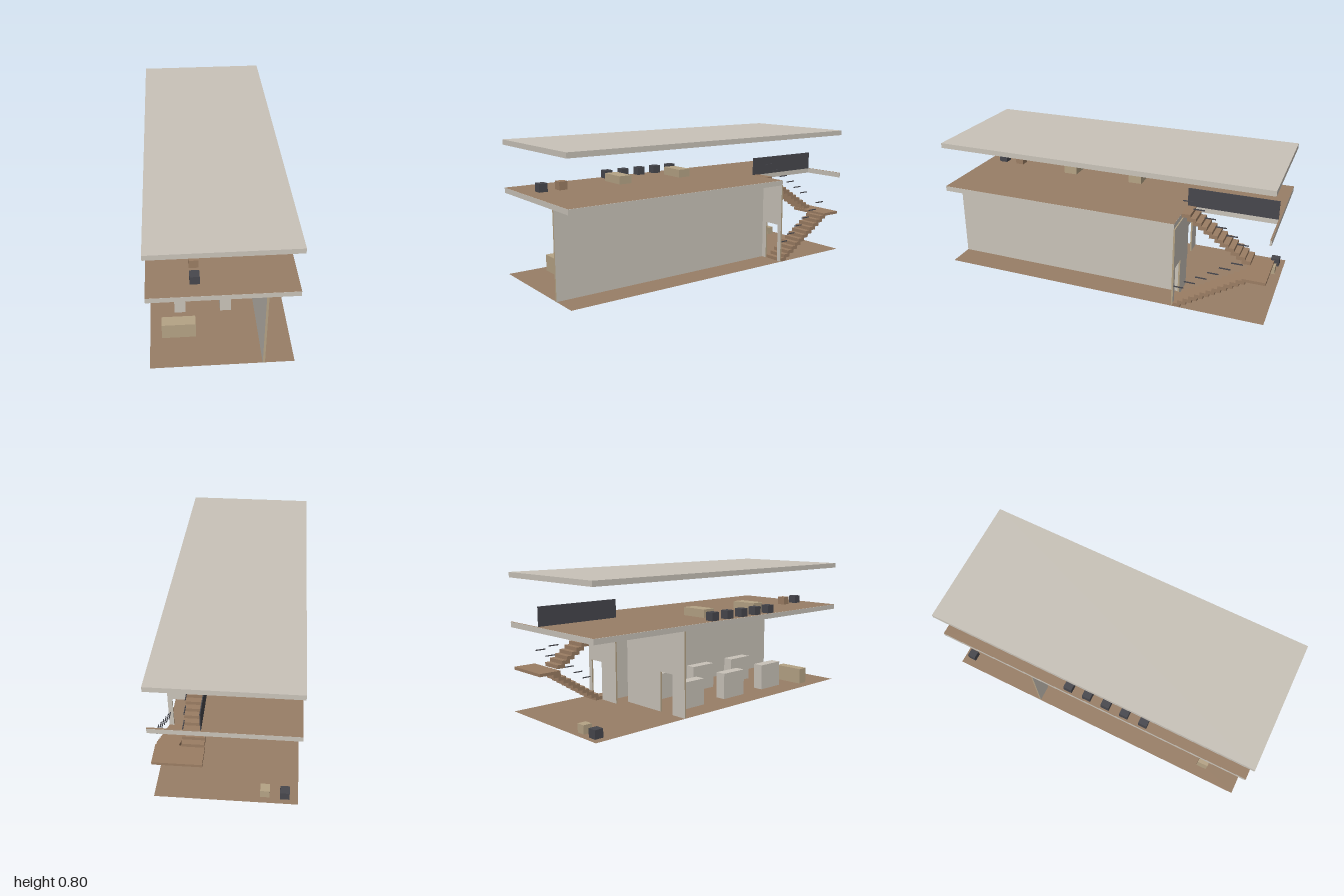
import * as THREE from 'three';

const mat = (name, color) => {
  const m = new THREE.MeshStandardMaterial({ color });
  m.name = name;
  return m;
};

export function createModel() {
  const cream = mat('cream plaster', 0xc9c3b9);
  const brown = mat('brown timber', 0x9b7d63);
  const tan = mat('tan wood', 0xb5a385);
  const dark = mat('dark grey', 0x47474d);
  const floorBrown = mat('floor brown', 0x997f67);
  floorBrown.side = THREE.DoubleSide;

  const model = new THREE.Group();
  model.name = 'twoStoreyBuilding';

  const add = (name, geometry, material, parent = model) => {
    const mesh = new THREE.Mesh(geometry, material);
    mesh.name = name;
    parent.add(mesh);
    return mesh;
  };
  const group = (name) => {
    const g = new THREE.Group();
    g.name = name;
    model.add(g);
    return g;
  };
  // Box given by its limits on each axis
  const box = (name, material, [x0, x1], [y0, y1], [z0, z1], parent) => {
    const mesh = add(name, new THREE.BoxGeometry(x1 - x0, y1 - y0, z1 - z0), material, parent);
    mesh.position.set((x0 + x1) / 2, (y0 + y1) / 2, (z0 + z1) / 2);
    return mesh;
  };
  // Plan outlines are lists of [x, z]
  const plan = (pts) => new THREE.Shape(pts.map(([x, z]) => new THREE.Vector2(x, -z)));
  const slab = (name, pts, y, depth) => {
    const g = new THREE.ExtrudeGeometry(plan(pts), { depth, bevelEnabled: false });
    add(name, g.rotateX(-Math.PI / 2).translate(0, y, 0), cream);
  };
  const floor = (name, pts, y) =>
    add(name, new THREE.ShapeGeometry(plan(pts)).rotateX(-Math.PI / 2).translate(0, y, 0), floorBrown);

  // Floors and roof: a slightly skewed rectangle, the upper floor open above the stairs
  const outline = [[-0.395, 1], [0.387, 1], [0.393, -1], [-0.391, -1]];
  const upper = [[-0.395, 1], [0.387, 1], [0.391, -0.47], [0.12, -0.47],
    [0.12, -0.99], [0.393, -0.99], [0.393, -1], [-0.391, -1]];
  floor('groundFloor', outline, 0.001);
  slab('upperSlab', upper, 0.49, 0.03);
  floor('upperFloor', upper, 0.5208);
  slab('roof', outline, 0.77, 0.03);

  // Walls: plastered faces with tan ends and door reveals
  const crossWall = (name, x0, x1, d0, d1, z) => {
    const s = new THREE.Shape([[x0, 0], [d0, 0], [d0, 0.235], [d1, 0.235], [d1, 0],
      [x1, 0], [x1, 0.49], [x0, 0.49]].map(([x, y]) => new THREE.Vector2(x, y)));
    const g = new THREE.ExtrudeGeometry(s, { depth: 0.01, bevelEnabled: false });
    add(name, g.translate(0, 0, z), [cream, tan]);
  };
  crossWall('rearWallRight', -0.39, 0.108, -0.29, -0.19, -0.397);
  crossWall('rearWallLeft', 0.12, 0.388, 0.258, 0.36, -0.477);
  box('longWall', [cream, cream, tan, tan, tan, tan], [0.213, 0.225], [0, 0.49], [-0.467, 1]);

  // Stairs: two flights, a landing, and short handrail pieces
  const stairs = group('stairs');
  const rise = 0.0215, run = 0.0325;
  for (let i = 0; i < 12; i++) {
    const z = -0.47 - run * i;
    const low = rise * i * 0.96;
    box('lowerStep', brown, [0.265, 0.388], [low, low + rise], [z - run - 0.018, z], stairs);
    const high = 0.5 - rise * i * 0.96;
    box('upperStep', brown, [0.122, 0.245], [high, high + rise], [z - run - 0.018, z], stairs);
  }
  box('landing', brown, [0.122, 0.39], [0.245, 0.262], [-0.99, -0.86], stairs);
  for (let i = 0; i < 6; i++) {
    const z = -0.503 - 0.0645 * i;
    const zs = [z - 0.032, z + 0.032];
    const low = 0.125 + 0.043 * i, high = 0.6 - 0.043 * i;
    box('lowerHandrail', dark, [0.375, 0.38], [low - 0.003, low + 0.003], zs, stairs);
    box('upperHandrail', dark, [0.234, 0.239], [high - 0.003, high + 0.003], zs, stairs);
  }
  box('balustrade', dark, [0.118, 0.123], [0.52, 0.63], [-0.99, -0.47]);

  // Ground floor furniture
  const ground = group('groundFurniture');
  for (const x of [-0.2215, 0.045])
    for (const z of [-0.2, 0.155, 0.508])
      box('displayBlock', cream, [x - 0.032, x + 0.032], [0, 0.16], [z - 0.09, z + 0.09], ground);
  box('desk', tan, [-0.328, -0.138], [0, 0.1], [0.725, 0.79], ground);

  // Small cubic seats and low tables
  const seats = group('seats');
  const seat = (x, y, z, material) =>
    box('seat', material, [x - 0.026, x + 0.026], [y, y + 0.05], [z - 0.026, z + 0.026], seats);
  seat(-0.318, 0, -0.945, dark);
  seat(-0.21, 0, -0.937, tan);
  seat(-0.144, 0.52, 0.888, dark);
  seat(-0.144, 0.52, 0.765, brown);
  for (let i = 0; i < 5; i++) seat(-0.356, 0.52, -0.147 + 0.122 * i, dark);
  for (const z of [-0.068, 0.373])
    box('lowTable', tan, [-0.25, -0.083], [0.52, 0.57], [z - 0.042, z + 0.042], seats);

  return model;
}
